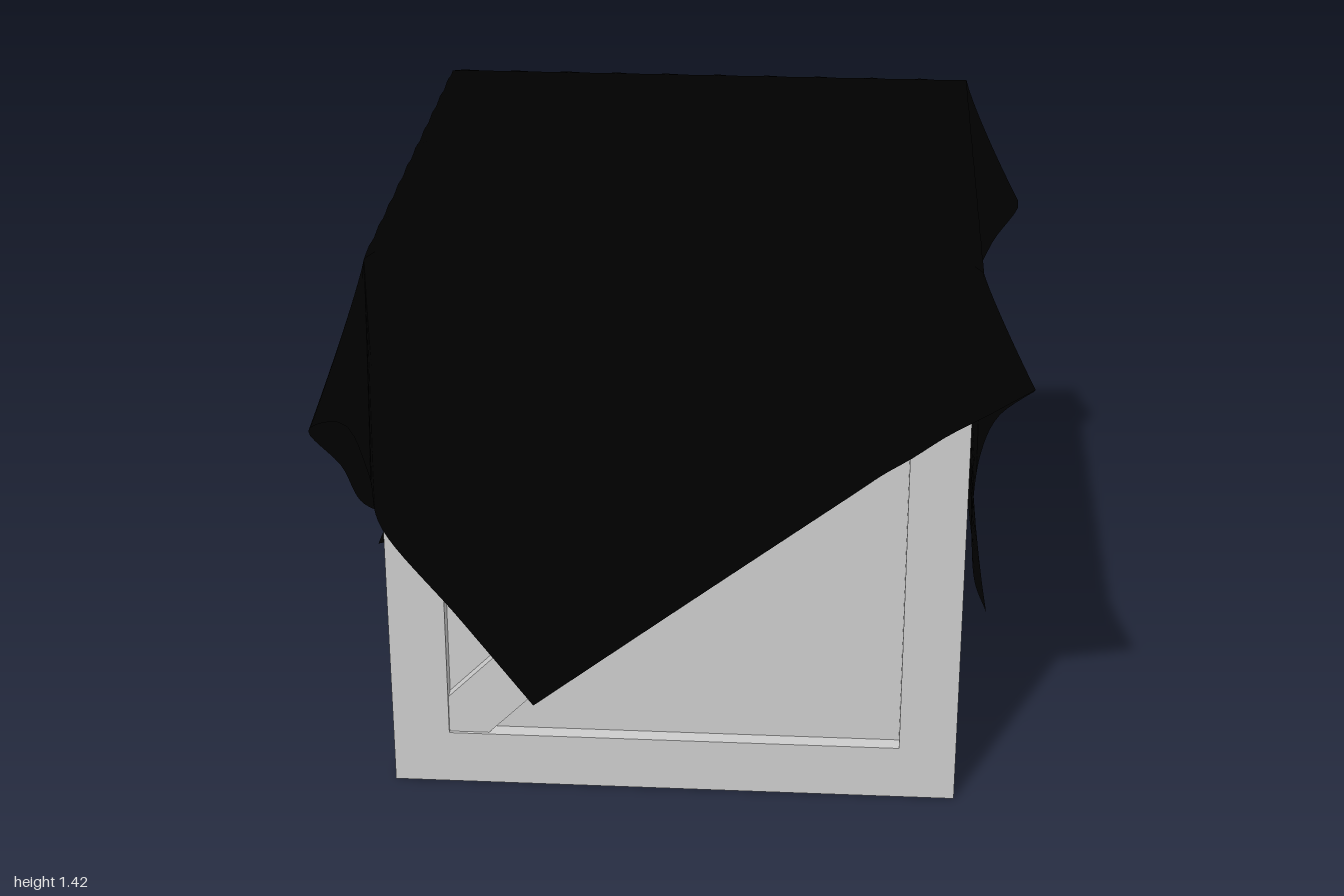
import * as THREE from 'three';

const H = 0.7;           // half size of the crate
const CX = 0.02, CZ = 0.025;

// One crate side: square frame, recessed panel and a diagonal brace
function crateSide(material) {
  const side = new THREE.Group();
  const o = H - 0.14, depth = 0.04;
  const square = s => [[-s, -s], [s, -s], [s, s], [-s, s]].map(p => new THREE.Vector2(...p));
  const add = (name, geometry) => {
    const mesh = new THREE.Mesh(geometry, material);
    mesh.name = name;
    side.add(mesh);
    return mesh;
  };

  const frameShape = new THREE.Shape(square(H));
  frameShape.holes.push(new THREE.Path(square(o)));
  add('frame', new THREE.ShapeGeometry(frameShape)).position.z = H;
  add('panel', new THREE.PlaneGeometry(2 * o, 2 * o)).position.z = H - depth;

  // Walls of the recess
  for (let i = 0; i < 4; i++) {
    const wall = new THREE.PlaneGeometry(2 * o, depth);
    wall.rotateX(-Math.PI / 2).translate(0, -o, H - depth / 2).rotateZ(i * Math.PI / 2);
    add('recessWall', wall);
  }

  // Brace from lower left to upper right, passing through the panel
  const brace = add('brace', new THREE.BoxGeometry(2 * Math.SQRT2 * o, 0.14, 0.047));
  brace.position.z = H - 0.0315;
  brace.rotation.z = Math.PI / 4;
  return side;
}

function createCrate() {
  const material = new THREE.MeshStandardMaterial({ color: 0xcccccc, side: THREE.DoubleSide });
  const crate = new THREE.Group();
  crate.name = 'crate';
  ['front', 'left', 'back', 'right'].forEach((name, i) => {
    const side = crateSide(material);
    side.name = name + 'Side';
    side.rotation.y = i * Math.PI / 2;
    crate.add(side);
  });
  const top = crateSide(material);
  top.name = 'topSide';
  top.rotation.x = -Math.PI / 2;
  crate.add(top);
  crate.position.set(CX, H, CZ);
  return crate;
}

// Hem of the cloth, counterclockwise from above. Each run starts at a hanging tip
// and passes one flared corner
const HEM = [
  // front tip to +x tip
  [[-0.32, 0.26, 0.78], [0.07, 0.56, 0.765], [0.45, 0.86, 0.77], [0.52, 0.95, 0.84], [0.58, 1.0, 0.86],
    [0.66, 1.04, 0.82], [0.75, 1.1, 0.83], [0.86, 1.18, 0.85], [0.78, 1.08, 0.78],
    [0.745, 0.94, 0.7], [0.765, 0.4, 0.3]],
  // +x tip to back tip
  [[0.81, 0.22, 0.16], [0.765, 0.39, -0.05], [0.75, 0.79, -0.55], [0.82, 0.93, -0.69],
    [0.9, 1.01, -0.83], [0.79, 1.0, -0.92], [0.73, 0.93, -0.9], [0.725, 0.72, -0.78],
    [0.61, 0.53, -0.82], [0.47, 0.33, -0.75]],
  // back tip to -x tip
  [[0.2, 0.03, -0.75], [-0.2, 0.31, -0.74], [-0.57, 0.6, -0.73], [-0.67, 0.68, -0.76], [-0.59, 0.78, -0.88],
    [-0.56, 0.9, -0.94], [-0.67, 0.93, -1.0], [-0.76, 0.9, -0.96], [-0.77, 0.75, -0.7],
    [-0.78, 0.5, -0.57], [-0.82, 0.28, -0.45]],
  // -x tip to front tip
  [[-0.9, 0.11, -0.33], [-0.79, 0.22, -0.16], [-0.73, 0.38, 0.07], [-0.71, 0.52, 0.3],
    [-0.75, 0.74, 0.64], [-0.77, 0.88, 0.74], [-0.82, 1.02, 0.85], [-0.7, 1.11, 1.0],
    [-0.67, 0.95, 0.92], [-0.67, 0.73, 0.78], [-0.5, 0.5, 0.775]],
];

function createCloth() {
  const hem = HEM.flatMap((run, i) => {
    const points = [...run, HEM[(i + 1) % 4][0]].map(p => new THREE.Vector3(...p));
    return new THREE.CatmullRomCurve3(points).getSpacedPoints(90).slice(0, -1);
  });

  const clamp = THREE.MathUtils.clamp;
  const reach = H + 0.01;
  // How far a coordinate lies beyond the crate edge
  const beyond = d => Math.max(0, Math.abs(d) - reach);
  const topY = 1.425, drapeRings = 14, n = hem.length;
  const inner = [0, 0.5, 0.95];       // rings lying on top of the crate
  const rings = inner.length + drapeRings + 1;
  const positions = [], index = [];

  for (let r = 0; r < rings; r++) {
    for (const h of hem) {
      // Point on the crate's top edge; flared folds gather toward the corners
      const dx = h.x - CX, dz = h.z - CZ;
      const ex = CX + clamp(dx + 3 * dx * Math.abs(dx) * beyond(dz), -reach, reach);
      const ez = CZ + clamp(dz + 3 * dz * Math.abs(dz) * beyond(dx), -reach, reach);
      if (r < inner.length) {
        const s = inner[r];
        positions.push(CX + (ex - CX) * s, topY, CZ + (ez - CZ) * s);
      } else {
        // Long drops hang straight then swing out; short corners flare at once
        const v = (r - inner.length) / drapeRings;
        const edgeY = topY - 0.012 + 0.003 * Math.sin((ex - ez) * 45);
        const f = v ** (1.12 + 1.6 * clamp((edgeY - h.y - 0.4) / 0.6, 0, 1));
        positions.push(ex + (h.x - ex) * f, edgeY + (h.y - edgeY) * v, ez + (h.z - ez) * f);
      }
    }
  }
  for (let r = 0; r < rings - 1; r++) {
    for (let j = 0; j < n; j++) {
      const k = (j + 1) % n;
      const a = r * n + j, b = a + n, c = (r + 1) * n + k, d = r * n + k;
      index.push(a, b, c);
      if (r > 0) index.push(a, c, d);
    }
  }
  const geometry = new THREE.BufferGeometry();
  geometry.setAttribute('position', new THREE.Float32BufferAttribute(positions, 3));
  geometry.setIndex(index);
  geometry.computeVertexNormals();
  const cloth = new THREE.Mesh(geometry,
    new THREE.MeshStandardMaterial({ color: 0x000000, side: THREE.DoubleSide }));
  cloth.name = 'drapedCloth';
  return cloth;
}

export function createModel() {
  const model = new THREE.Group();
  model.name = 'coveredCrate';
  model.add(createCrate(), createCloth());
  return model;
}
